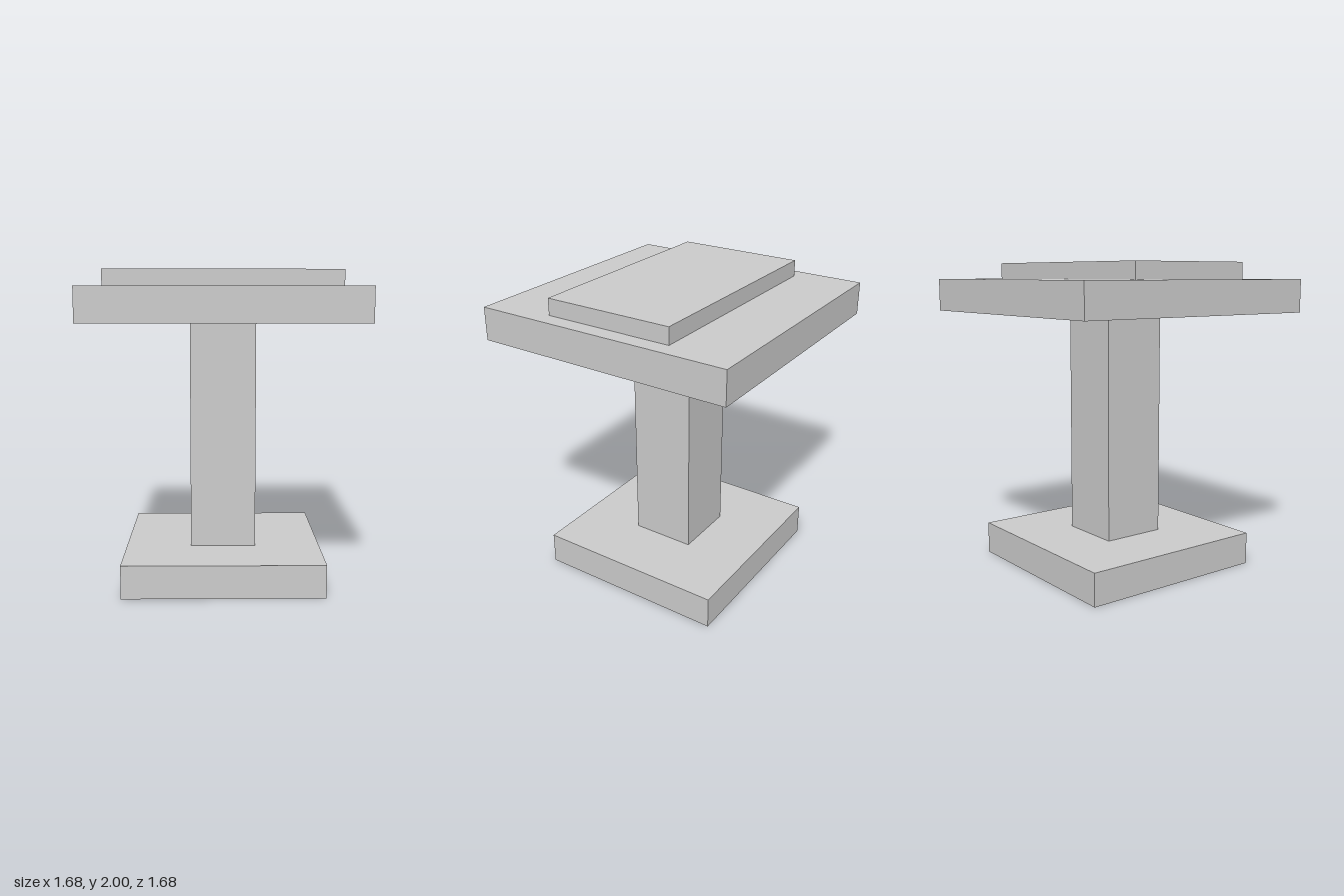
import * as THREE from 'three';

// The whole pedestal is 19 modules tall
const U = 2 / 19;

export function createModel() {
  const model = new THREE.Group();
  model.name = 'pedestal';
  const material = new THREE.MeshStandardMaterial({ color: 0xcccccc, flatShading: true });

  // Slabs stacked from the ground up: name, width, height, depth in modules
  const slabs = [
    ['base', 12, 2, 12],
    ['column', 4, 14, 4],
    ['top', 16, 2, 16],
    ['topPanel', 14, 1, 8],
  ];

  let y = 0;
  for (const [name, w, h, d] of slabs) {
    const mesh = new THREE.Mesh(new THREE.BoxGeometry(w * U, h * U, d * U), material);
    mesh.name = name;
    mesh.position.y = (y + h / 2) * U;
    model.add(mesh);
    y += h;
  }
  return model;
}
